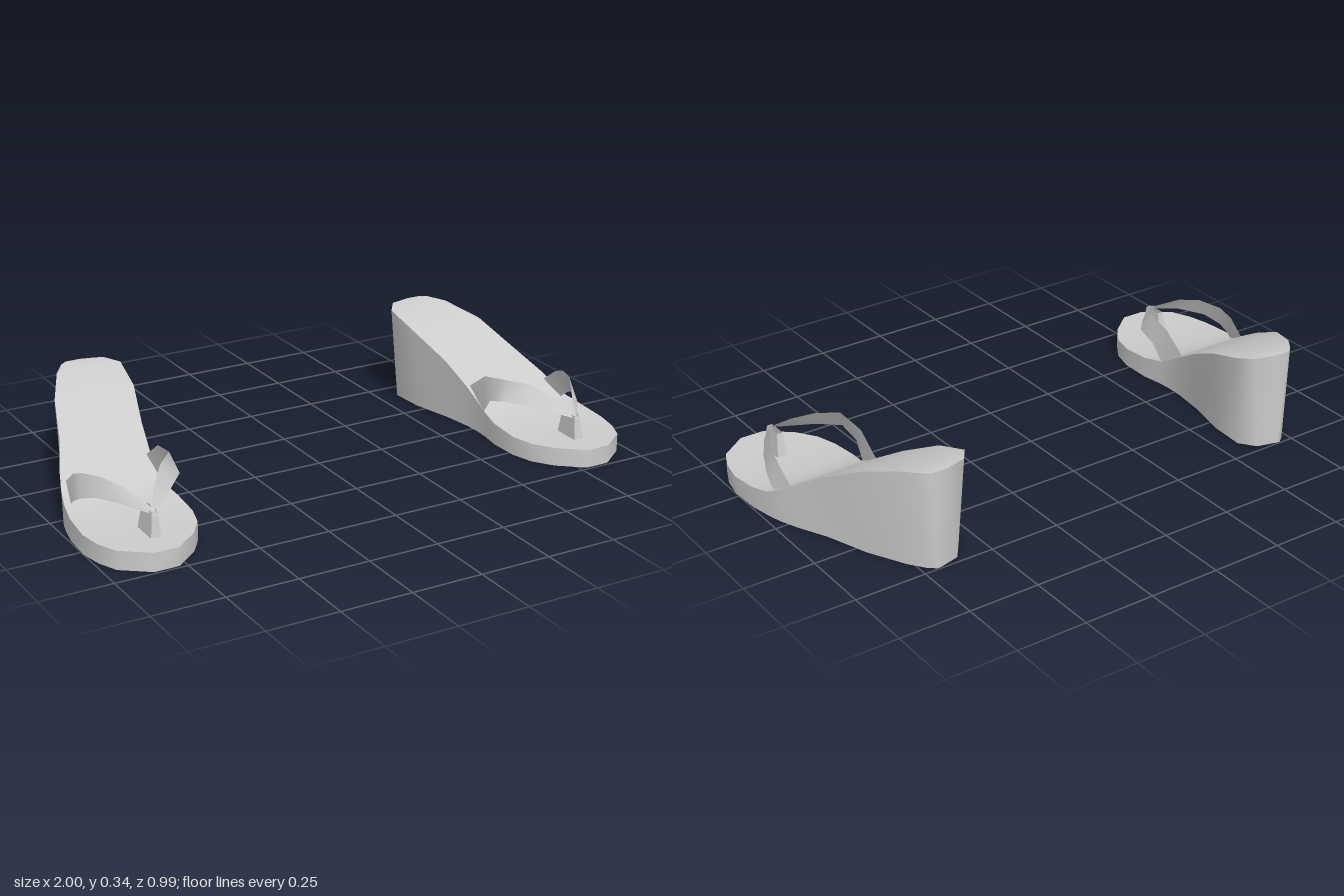
import * as THREE from 'three';

// Sole stations from heel to toe: z, inner x, outer x, top height
const STATIONS = [
  [-0.495, 0.66, 0.715, 0.345], [-0.475, 0.585, 0.74, 0.345], [-0.42, 0.545, 0.78, 0.338],
  [-0.29, 0.557, 0.845, 0.298], [-0.14, 0.6, 0.895, 0.222], [-0.03, 0.622, 0.945, 0.155],
  [0.03, 0.628, 0.967, 0.118], [0.08, 0.628, 0.98, 0.092], [0.16, 0.617, 0.995, 0.077],
  [0.27, 0.62, 1.0, 0.067], [0.35, 0.642, 0.985, 0.065], [0.42, 0.69, 0.955, 0.065],
  [0.49, 0.775, 0.862, 0.065],
];

// Strap edges from toe post to foot side
const OUTER_UPPER = [[0.8, 0.15, 0.365], [0.86, 0.202, 0.27], [0.9, 0.216, 0.2], [0.932, 0.207, 0.12], [0.94, 0.185, 0.065], [0.937, 0.135, 0]];
const OUTER_LOWER = [[0.8, 0.135, 0.39], [0.875, 0.153, 0.29], [0.925, 0.151, 0.2], [0.95, 0.13, 0.14], [0.957, 0.11, 0.105], [0.957, 0.085, 0.075]];
const INNER_UPPER = [[0.81, 0.15, 0.365], [0.765, 0.195, 0.3], [0.71, 0.23, 0.23], [0.65, 0.24, 0.17], [0.637, 0.22, 0.06], [0.637, 0.155, -0.03]];
const INNER_LOWER = [[0.81, 0.135, 0.39], [0.75, 0.15, 0.33], [0.69, 0.165, 0.27], [0.628, 0.172, 0.2], [0.622, 0.15, 0.12], [0.628, 0.088, 0.07]];

// Surface between two edges; side = -1 mirrors it in x
function strip(name, a, b, side, { closed = false, thin = false, flat = false } = {}) {
  const n = a.length;
  const points = [...a, ...b].map(([x, y, z]) => [x * side, y, z]);
  const index = [];
  for (let i = 0; i < (closed ? n : n - 1); i++) {
    const j = (i + 1) % n;
    const quad = [i, n + i, n + j, i, n + j, j];
    index.push(...(side > 0 ? quad : quad.reverse()));
  }
  const geometry = new THREE.BufferGeometry();
  geometry.setAttribute('position', new THREE.Float32BufferAttribute(points.flat(), 3));
  geometry.setIndex(index);
  geometry.computeVertexNormals();
  const material = new THREE.MeshStandardMaterial({
    color: 0xcccccc,
    flatShading: flat,
    side: thin ? THREE.DoubleSide : THREE.FrontSide,
  });
  const mesh = new THREE.Mesh(geometry, material);
  mesh.name = name;
  return mesh;
}

// Corners of a level rectangle, running outer side then inner side
const rectangle = (x0, x1, y, z0, z1) => [[x1, y, z0], [x1, y, z1], [x0, y, z1], [x0, y, z0]];

function createSandal(side) {
  const sandal = new THREE.Group();
  sandal.name = side > 0 ? 'leftSandal' : 'rightSandal';

  // Wedge sole, tapering slightly towards the ground at the heel
  const innerTop = STATIONS.map(([z, xi, , y]) => [xi, y, z]);
  const outerTop = STATIONS.map(([z, , xo, y]) => [xo, y, z]);
  const innerBase = STATIONS.map(([z, xi, , y]) => [xi + 0.11 * (y - 0.065), 0, z]);
  const outerBase = STATIONS.map(([z, , xo, y]) => [xo - 0.05 * (y - 0.065), 0, z]);
  const loop = (outer, inner) => [...outer, ...[...inner].reverse()];
  const sole = new THREE.Group();
  sole.name = 'wedgeSole';
  sole.add(
    strip('footbed', outerTop, innerTop, side),
    strip('soleBottom', innerBase, outerBase, side),
    strip('soleWall', loop(outerBase, innerBase), loop(outerTop, innerTop), side, { closed: true }),
  );

  // Thong straps and toe post
  sandal.add(
    sole,
    strip('outerStrap', OUTER_LOWER, OUTER_UPPER, side, { thin: true }),
    strip('innerStrap', INNER_UPPER, INNER_LOWER, side, { thin: true }),
    strip('toePost', rectangle(0.79, 0.825, 0.064, 0.295, 0.395), rectangle(0.795, 0.815, 0.148, 0.31, 0.38), side,
      { closed: true, thin: true, flat: true }),
  );
  return sandal;
}

export function createModel() {
  const model = new THREE.Group();
  model.name = 'wedgeSandals';
  for (const side of [1, -1]) model.add(createSandal(side));
  return model;
}
